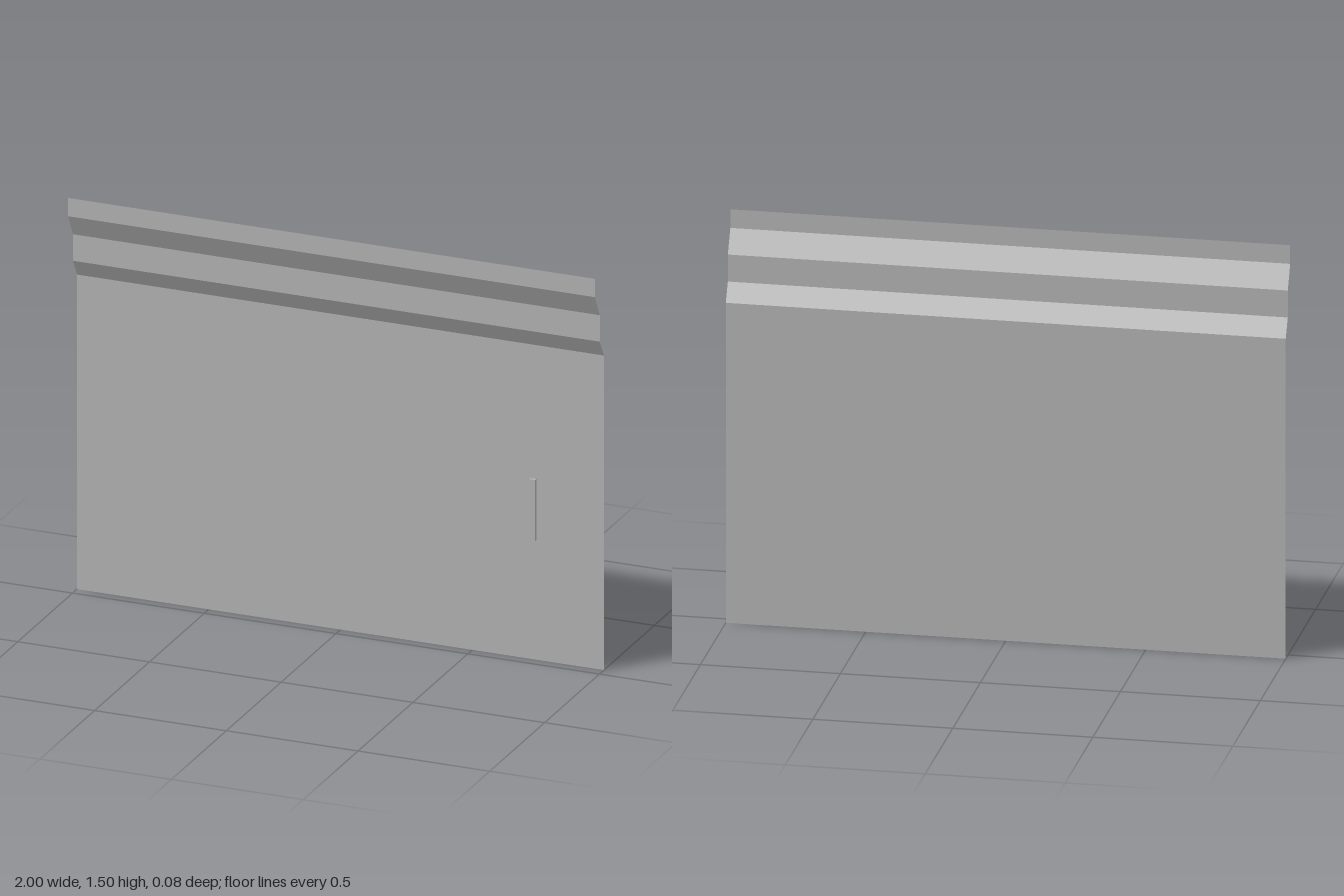
import * as THREE from 'three';

export function createModel() {
  const model = new THREE.Group();
  model.name = 'slidingPanel';

  const grey = new THREE.MeshStandardMaterial({ color: 0xb4b4b4 });
  grey.name = 'panelGrey';
  grey.side = THREE.DoubleSide; // the panel is a thin open sheet
  grey.flatShading = true;

  // Stepped profile from bottom to top, as [y, z]
  const profile = [
    [0, -0.041], [1.186, -0.041],
    [1.252, -0.003], [1.352, -0.003],
    [1.436, 0.041], [1.505, 0.041],
  ];

  // Folded sheet: one row of vertices for each profile point
  const sheet = new THREE.PlaneGeometry(2, 1, 1, profile.length - 1);
  const pos = sheet.attributes.position;
  for (let i = 0; i < pos.count; i++) {
    const row = profile.length - 1 - Math.floor(i / 2); // plane rows run top to bottom
    pos.setY(i, profile[row][0]);
    pos.setZ(i, profile[row][1]);
  }
  const folded = sheet.toNonIndexed(); // sharp folds
  folded.computeVertexNormals();
  const panel = new THREE.Mesh(folded, grey);
  panel.name = 'foldedPanel';
  model.add(panel);

  // Slim upright handle in front of the flat lower part
  const handle = new THREE.Mesh(new THREE.BoxGeometry(0.022, 0.23, 0.011), grey);
  handle.name = 'handle';
  handle.position.set(0.736, 0.57, -0.027);
  model.add(handle);

  return model;
}
